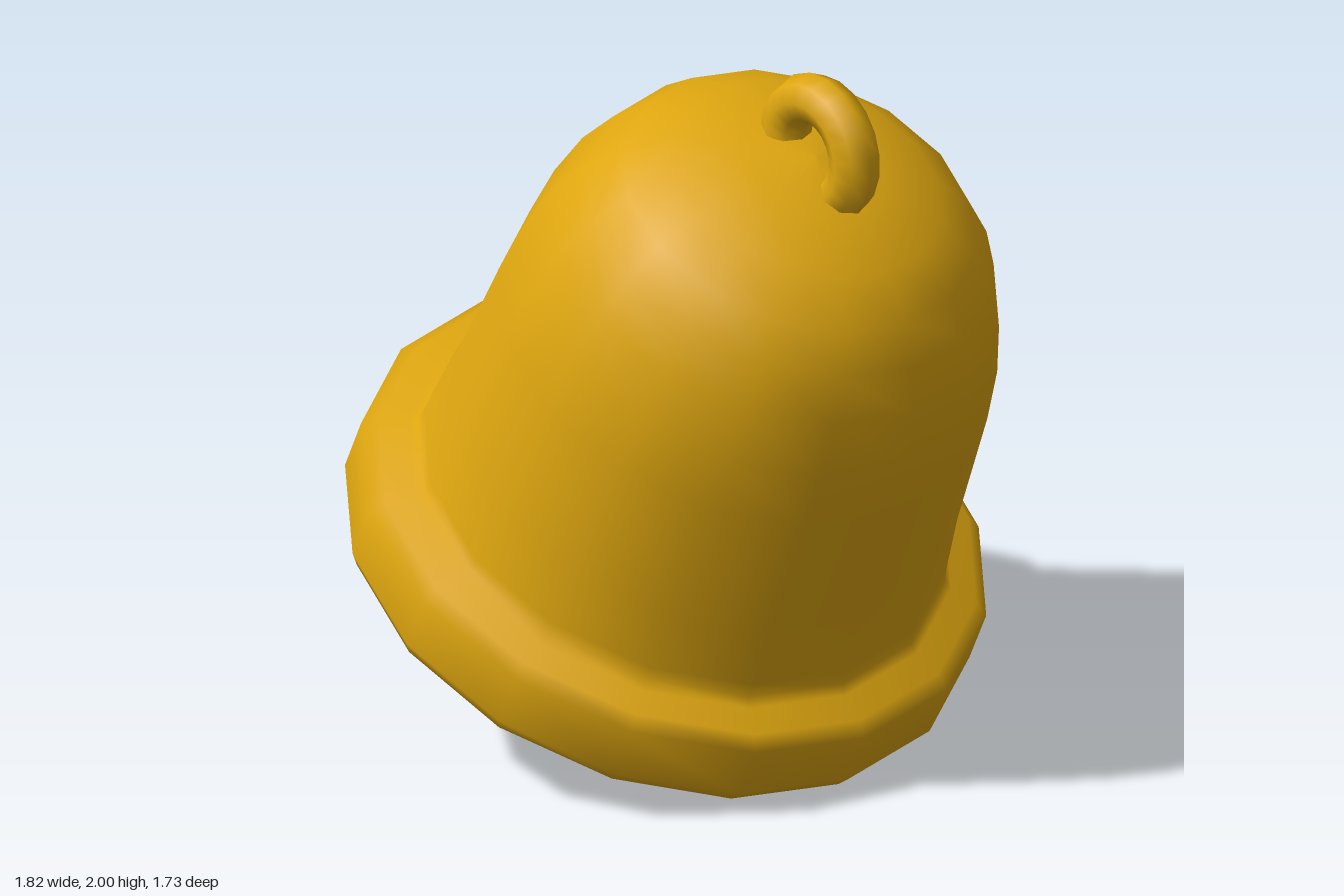
import * as THREE from 'three';

export function createModel() {
  const root = new THREE.Group();
  root.name = 'bell';
  const gold = new THREE.MeshStandardMaterial({ color: 0xdea60f });
  gold.name = 'gold';

  // Everything is built upright around the bell's axis, then swung sideways
  const swing = new THREE.Group();
  swing.name = 'swingingBell';
  swing.position.set(-0.273, 0.13, 0);
  swing.rotation.z = THREE.MathUtils.degToRad(-25.5);
  root.add(swing);

  const add = (name, geometry, y = 0) => {
    const mesh = new THREE.Mesh(geometry, gold);
    mesh.name = name;
    mesh.position.y = y;
    swing.add(mesh);
    return mesh;
  };

  // Hollow shell: inner wall from the crown down, round the lip, outer wall up
  const profile = [
    [0, 1.76], [0.19, 1.74], [0.35, 1.68], [0.46, 1.6], [0.53, 1.5],
    [0.585, 1.4], [0.625, 1.26], [0.645, 1.1], [0.668, 0.75], [0.7, 0.5],
    [0.75, 0.29], [0.77, 0.257], [0.8, 0.252], [0.838, 0.264], [0.862, 0.305],
    [0.863, 0.46], [0.826, 0.491], [0.75, 0.513], [0.728, 0.535], [0.72, 0.57],
    [0.698, 0.752], [0.674, 1.119], [0.653, 1.284], [0.614, 1.435],
    [0.558, 1.555], [0.485, 1.652], [0.367, 1.735], [0.196, 1.792], [0, 1.813],
  ].map(([r, y]) => new THREE.Vector2(r, y));
  add('bellShell', new THREE.LatheGeometry(profile, 16));

  // Hanging loop, its ends sunk into the crown
  const loop = add('hangingLoop', new THREE.TorusGeometry(0.14, 0.068, 8, 12, Math.PI * 1.25), 1.846);
  loop.rotation.z = -Math.PI * 0.125;

  // Clapper ball and its rod
  add('clapperBall', new THREE.SphereGeometry(0.227, 16, 12), 0.283);
  add('clapperRod', new THREE.CylinderGeometry(0.04, 0.04, 1.33, 8, 1, true), 1.115);

  return root;
}
